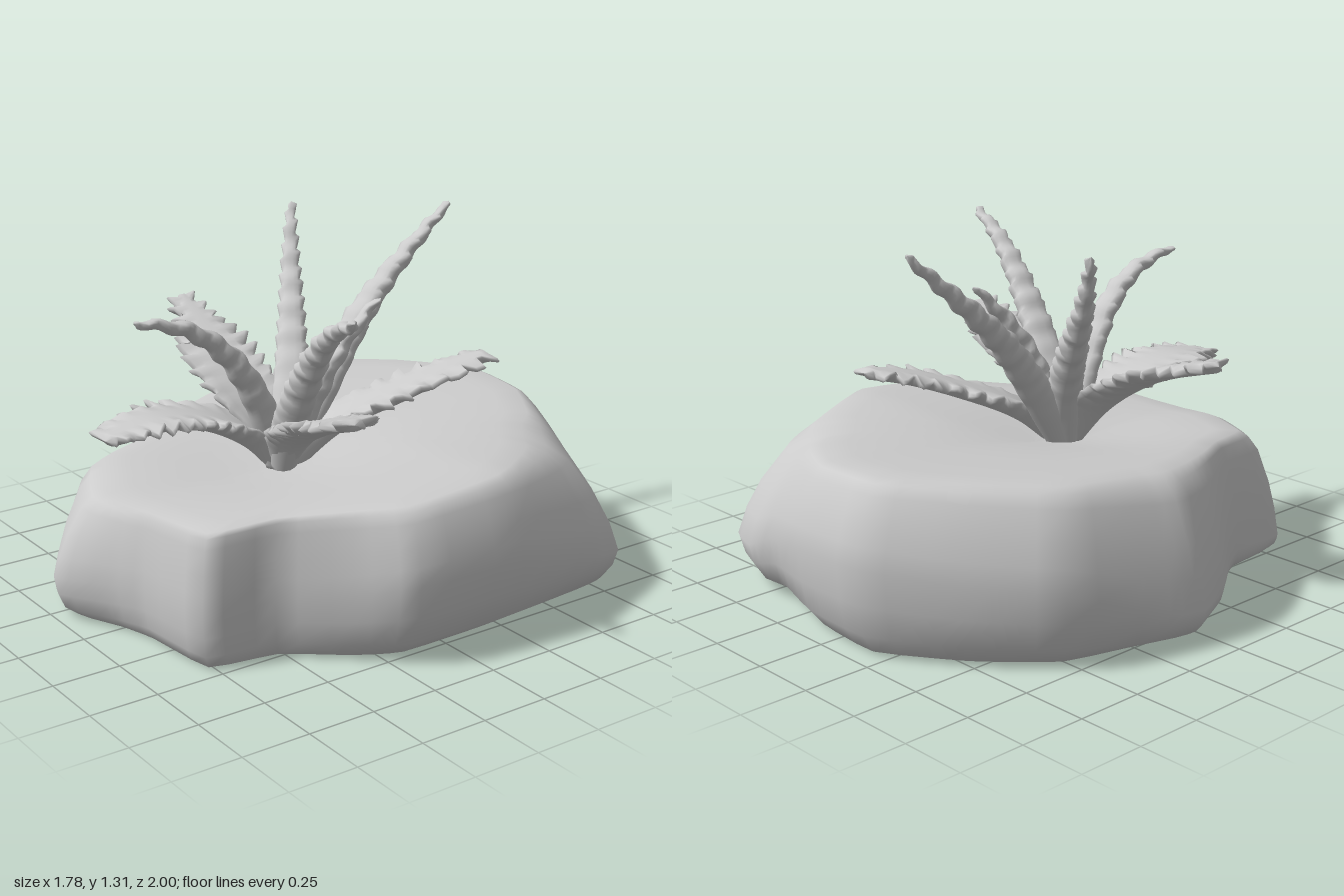
import * as THREE from 'three';

const material = new THREE.MeshStandardMaterial({ color: 0xcccccc });
const { lerp, smoothstep } = THREE.MathUtils;

// Skin a list of closed rings (arrays of Vector3) into one smooth mesh
function loft(name, rings) {
  const n = rings[0].length, index = [];
  for (let i = 0; i < rings.length - 1; i++) {
    for (let j = 0; j < n; j++) {
      const k = (j + 1) % n;
      const a = i * n + j, b = i * n + k, c = a + n, d = b + n;
      index.push(a, c, b, b, c, d);
    }
  }
  const geometry = new THREE.BufferGeometry().setFromPoints(rings.flat());
  geometry.setIndex(index);
  geometry.computeVertexNormals();
  const mesh = new THREE.Mesh(geometry, material);
  mesh.name = name;
  return mesh;
}

// Height of the rock's top: rising to the back, with a hollow under the plant
function rockTop(x, z) {
  const hollow = 0.05 * Math.exp(-(x * x + (z - 0.2) ** 2) / 0.12);
  const backCorner = 0.15 * Math.max(0, x) * Math.max(0, -z - 0.2);
  return 0.535 - 0.085 * z + 0.045 * Math.abs(x) - hollow - backCorner;
}

// Boulder outline: x, z at the widest, scale of the foot, height of the widest, scale of the top rim
const rockOutline = [
  [-0.2, -1, 0.92, 0.33, 0.86], [0.13, -0.99, 0.91, 0.31, 0.86], [0.4, -0.91, 0.88, 0.25, 0.8],
  [0.55, -0.9, 0.87, 0.18, 0.71], [0.75, -0.81, 0.87, 0.15, 0.67], [0.8, -0.65, 0.85, 0.18, 0.74],
  [0.89, -0.23, 0.82, 0.3, 0.86], [0.86, 0.2, 0.85, 0.3, 0.88], [0.7, 0.36, 0.92, 0.25, 0.92],
  [0.52, 0.55, 0.95, 0.22, 0.96], [0.46, 0.8, 0.96, 0.2, 0.95], [0.15, 0.84, 0.96, 0.2, 0.95],
  [0, 0.9, 0.94, 0.18, 0.91], [-0.2, 1, 0.92, 0.16, 0.81], [-0.48, 0.84, 0.97, 0.05, 0.82],
  [-0.53, 0.55, 0.95, 0.08, 0.87], [-0.65, 0.36, 0.91, 0.12, 0.85], [-0.8, 0.15, 0.88, 0.12, 0.79],
  [-0.89, -0.05, 0.88, 0.12, 0.76], [-0.87, -0.2, 0.88, 0.14, 0.76], [-0.75, -0.57, 0.9, 0.28, 0.83],
  [-0.5, -0.8, 0.92, 0.3, 0.86],
];

function makeRock() {
  const closedCurve = points =>
    new THREE.CatmullRomCurve3(points, true, 'catmullrom', 0.2).getPoints(points.length * 3).slice(0, -1);
  const widest = closedCurve(rockOutline.map(([x, z]) => new THREE.Vector3(x, 0, z)));
  const shape = closedCurve(rockOutline.map(([, , foot, y, rim]) => new THREE.Vector3(foot, y, rim)));

  const level = (scale, height) => widest.map((p, i) => {
    const { x: foot, y: waist, z: rim } = shape[i];
    const s = scale(foot, rim), x = p.x * s, z = p.z * s;
    return new THREE.Vector3(x, height(waist, rockTop(x, z)), z);
  });
  const below = (out, up) => level(foot => lerp(foot, 1, out), waist => waist * up);
  const above = (inward, up) => level((foot, rim) => lerp(1, rim, inward), (waist, top) => lerp(waist, top, up));

  return loft('rock', [
    level(() => 0, () => 0),
    level(foot => foot * 0.6, () => 0),
    level(foot => foot * 0.96, () => 0),
    below(0, 0.03),
    below(0.6, 0.25),
    below(0.88, 0.6),
    below(1, 1),
    above(0.1, 0.25),
    above(0.26, 0.5),
    above(0.54, 0.8),
    above(0.77, 0.92),
    above(1, 0.98),
    ...[0.88, 0.7, 0.52, 0.35, 0.17, 0].map(s => level((foot, rim) => rim * s, (waist, top) => top)),
  ]);
}

// Half-widths spaced evenly from base to tip
const narrowWidths = [0.045, 0.062, 0.063, 0.056, 0.046, 0.036, 0.025, 0.012];
const broadWidths = [0.045, 0.075, 0.105, 0.125, 0.13, 0.125, 0.11, 0.085, 0.04];
const hookedWidths = [0.045, 0.08, 0.12, 0.135, 0.135, 0.11, 0.075, 0.06, 0.02];

function sample(values, t) {
  const f = t * (values.length - 1), i = Math.min(Math.floor(f), values.length - 2);
  return lerp(values[i], values[i + 1], f - i);
}

// Leaf: a fleshy channelled blade swept along a path, with saw teeth along both edges
function makeLeaf({ name, path, widths = narrowWidths, size = 1, teeth = 14 }) {
  const broad = widths !== narrowWidths;
  const curve = new THREE.CatmullRomCurve3(path.map(p => new THREE.Vector3(...p)));
  const up = new THREE.Vector3(0, 1, 0), steps = teeth * 4, around = 14;
  const rings = [];
  for (let i = 0; i <= steps; i++) {
    const t = i / steps;
    const center = curve.getPointAt(t), forward = curve.getTangentAt(t);
    const side = forward.clone().cross(up).normalize();
    const normal = side.clone().cross(forward);
    const ended = i === 0 || i === steps ? 0 : 1;
    const growth = smoothstep(t, 0.1, 0.6);
    const width = sample(widths, t) * size * ended;
    const thick = (broad ? lerp(0.038, 0.02, t) : lerp(0.055, 0.012, t * t) * size) * ended;
    const fold = broad ? lerp(0.6, 0.1, smoothstep(t, 0, 0.6)) : 0.3;
    // Slight kinks along the narrow blades
    if (!broad) center.addScaledVector(normal, 0.006 * growth * Math.sin(i * 0.9));
    const ring = [];
    for (let j = 0; j < around; j++) {
      const a = j / around * Math.PI * 2, u = Math.cos(a), v = Math.sin(a);
      // Teeth alternate from one edge to the other and lean toward the tip
      const phase = ((i + (u > 0 ? 0 : 2)) % 4) / 3;
      const edge = smoothstep(Math.abs(u), 0.6, 1) * growth * ended;
      const tooth = edge * (phase - 0.4) * (broad ? 0.055 : 0.015);
      const ripple = broad ? 0.014 * edge * Math.sin(i * 1.3 + (u > 0 ? 0 : 2)) : 0;
      ring.push(center.clone()
        .addScaledVector(side, width * u + Math.sign(u) * tooth)
        .addScaledVector(normal, thick * v + fold * width * u * u + ripple)
        .addScaledVector(forward, Math.max(0, tooth) * 0.6));
    }
    rings.push(ring);
  }
  return loft(name, rings);
}

const leaves = [
  // Tall narrow leaves
  { name: 'tallBackLeaf', teeth: 18, size: 1.05,
    path: [[0, 0.47, 0.14], [-0.04, 0.73, -0.06], [-0.08, 0.92, -0.23], [-0.11, 1.07, -0.4], [-0.12, 1.31, -0.69]] },
  { name: 'tallRightLeaf', teeth: 16,
    path: [[0, 0.47, 0.17], [-0.1, 0.7, 0.06], [-0.25, 0.91, -0.05], [-0.4, 1.1, -0.15], [-0.51, 1.3, -0.23]] },
  { name: 'tallLeftLeaf', teeth: 18, size: 1.05,
    path: [[0.02, 0.47, 0.18], [0.18, 0.7, 0.24], [0.38, 0.95, 0.3], [0.58, 1.12, 0.36], [0.78, 1.21, 0.42]] },
  { name: 'tallFrontLeaf', teeth: 14, size: 0.95,
    path: [[0, 0.47, 0.18], [0.02, 0.74, 0.29], [0.04, 0.93, 0.42], [0.05, 1.05, 0.58], [0.05, 1.11, 0.79]] },
  { name: 'shortBackLeaf', teeth: 10, size: 0.9,
    path: [[0.03, 0.47, 0.19], [0.11, 0.72, 0.12], [0.14, 0.92, 0], [0.16, 1.08, -0.15]] },
  // Low broad leaves
  { name: 'broadBackLeaf', widths: broadWidths, size: 0.85, teeth: 12,
    path: [[0.02, 0.47, 0.15], [0.08, 0.61, -0.02], [0.17, 0.72, -0.25], [0.23, 0.78, -0.42], [0.26, 0.82, -0.58]] },
  { name: 'broadLeftLeaf', widths: broadWidths, teeth: 14,
    path: [[0.02, 0.47, 0.18], [0.17, 0.62, 0.22], [0.35, 0.72, 0.26], [0.53, 0.79, 0.31], [0.7, 0.85, 0.36]] },
  { name: 'broadFrontLeaf', widths: broadWidths, size: 1.1, teeth: 14,
    path: [[0, 0.47, 0.18], [-0.03, 0.59, 0.3], [-0.06, 0.67, 0.45], [-0.06, 0.71, 0.65], [-0.03, 0.69, 0.87]] },
  { name: 'broadRightLeaf', widths: hookedWidths, size: 1.05, teeth: 14,
    path: [[0, 0.47, 0.18], [-0.15, 0.64, 0.2], [-0.35, 0.77, 0.19], [-0.55, 0.85, 0.15], [-0.78, 0.92, 0.11]] },
];

export function createModel() {
  const model = new THREE.Group();
  model.name = 'plantOnRock';
  const plant = new THREE.Group();
  plant.name = 'plant';
  leaves.forEach(leaf => plant.add(makeLeaf(leaf)));
  model.add(makeRock(), plant);
  return model;
}
